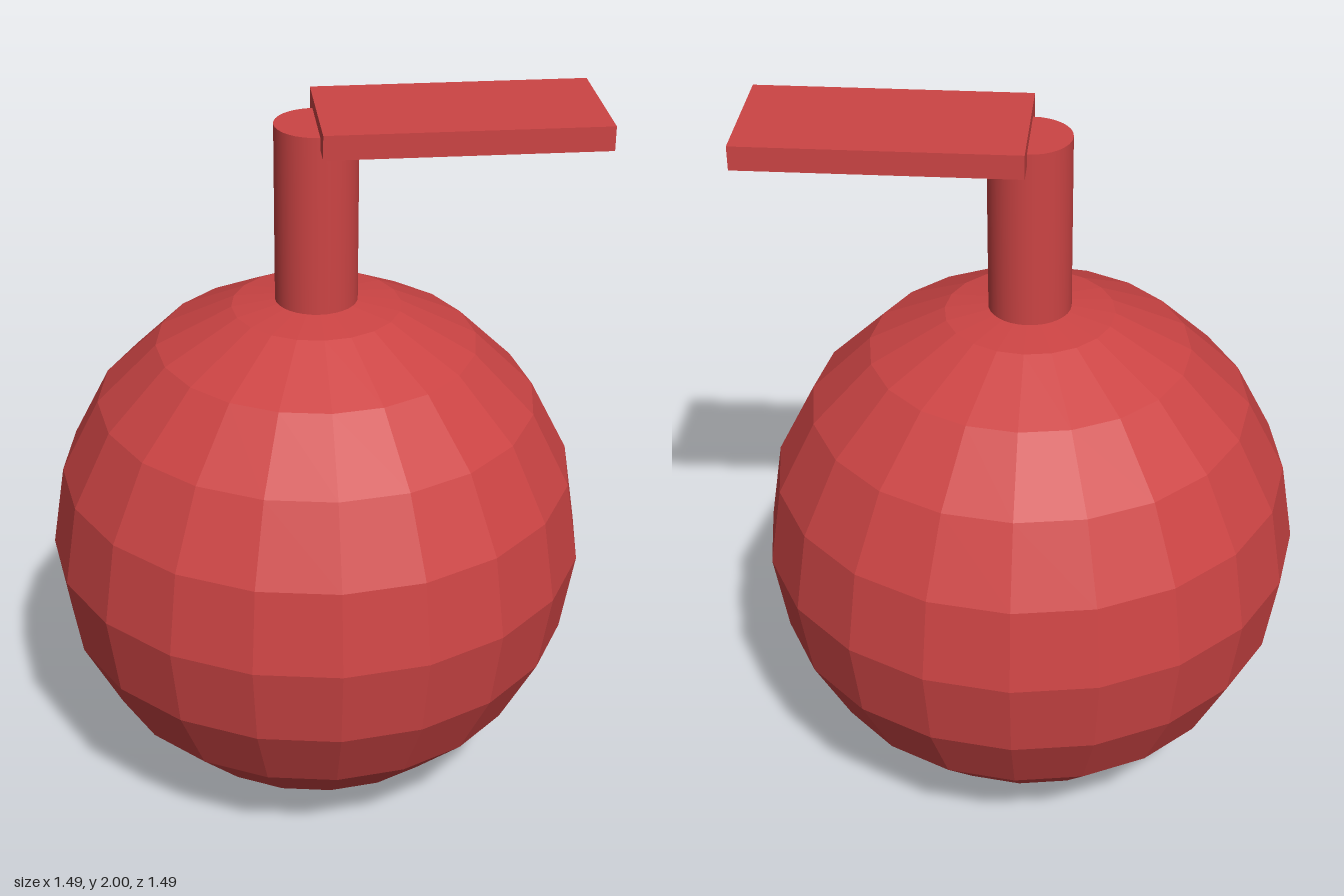
import * as THREE from 'three';

export function createModel() {
  const model = new THREE.Group();
  const R = 0.745; // body radius
  const top = 1.967; // top of the neck, mid-height of the lever
  const faceted = new THREE.MeshStandardMaterial({ color: 0xcc4444, flatShading: true });
  const smooth = new THREE.MeshStandardMaterial({ color: 0xcc4444 });

  const add = (name, geometry, material, x, y) => {
    const mesh = new THREE.Mesh(geometry, material);
    mesh.name = name;
    mesh.position.set(x, y, 0);
    model.add(mesh);
  };

  // Low-poly round body standing on the ground
  add('body', new THREE.SphereGeometry(R, 20, 10), faceted, 0, R);

  // Neck, slightly sunk into the top of the body
  const neckBase = 1.44;
  add('neck', new THREE.CylinderGeometry(0.112, 0.112, top - neckBase, 32), smooth, 0, (top + neckBase) / 2);

  // Flat lever reaching from the neck's axis out to the body's edge
  add('lever', new THREE.BoxGeometry(R, 0.066, 0.372), smooth, R / 2, top);

  return model;
}
